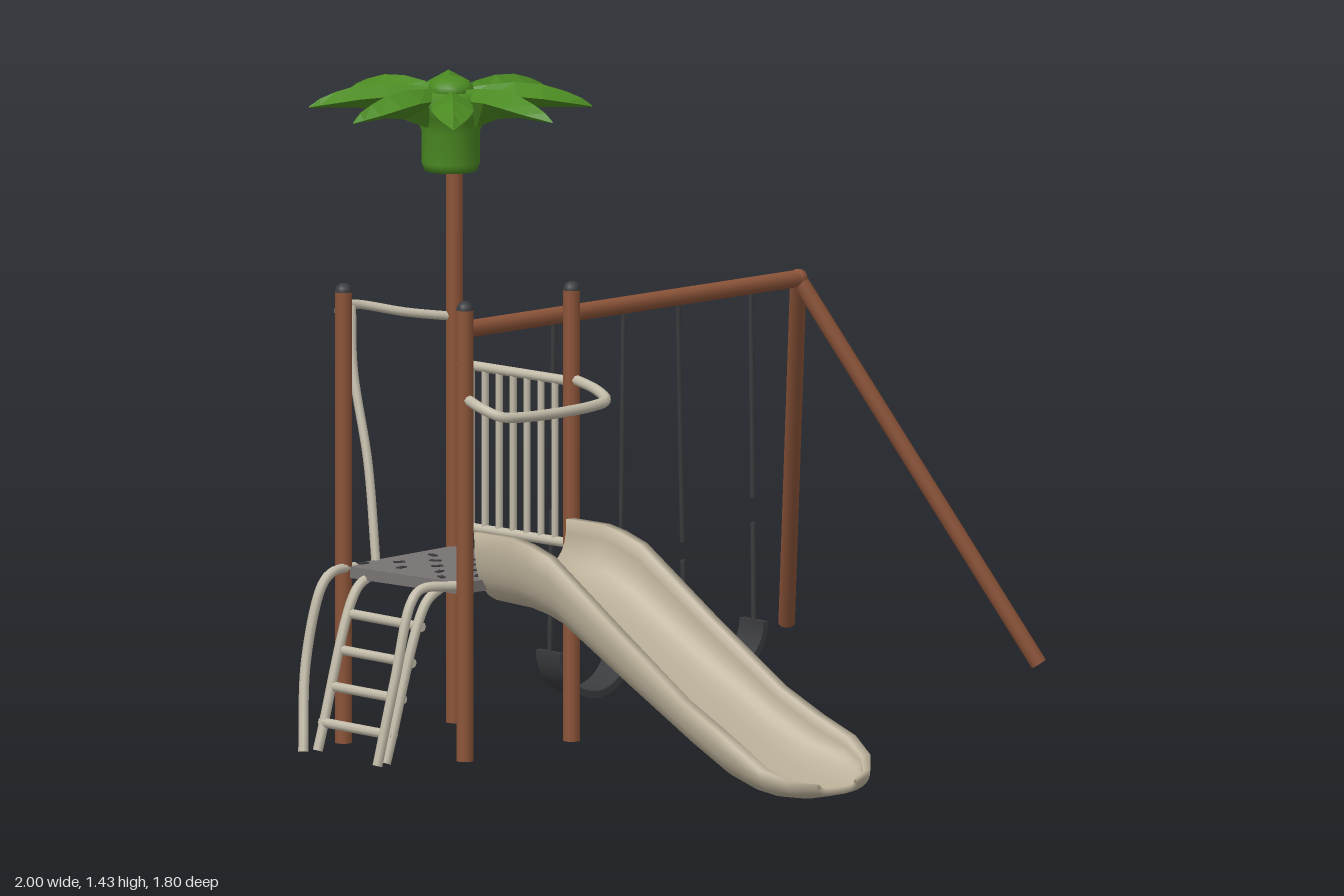
import * as THREE from 'three';

const mat = (name, color) => {
  const m = new THREE.MeshStandardMaterial({ color });
  m.name = name;
  return m;
};

export function createModel() {
  const root = new THREE.Group();
  root.name = 'playground';
  const wood = mat('brown wood', 0x8c5439);
  const plastic = mat('beige plastic', 0xbdb29b);
  const metal = mat('pale metal', 0xc2bba9);
  const rubber = mat('dark rubber', 0x3a3b3e);
  const deckGrey = mat('deck grey', 0x777372);
  const leafGreen = mat('leaf green', 0x4b8a22);

  const V = (p) => new THREE.Vector3(...p);
  const add = (name, geo, material, parent = root) => {
    const m = new THREE.Mesh(geo, material);
    m.name = name;
    parent.add(m);
    return m;
  };
  const group = (name) => {
    const g = new THREE.Group();
    g.name = name;
    root.add(g);
    return g;
  };
  // Straight round bar between two points
  const rod = (name, a, b, r, material, parent = root, sides = 12) => {
    const A = V(a), d = V(b).sub(A);
    const m = add(name, new THREE.CylinderGeometry(r, r, d.length(), sides), material, parent);
    m.position.copy(A).addScaledVector(d, 0.5);
    m.quaternion.setFromUnitVectors(new THREE.Vector3(0, 1, 0), d.normalize());
    return m;
  };
  // Bent tube through points
  const pipe = (name, pts, r, material, parent = root) => {
    const curve = new THREE.CatmullRomCurve3(pts.map(V), false, 'centripetal');
    return add(name, new THREE.TubeGeometry(curve, 40, r, 8), material, parent);
  };
  // Skin over closed rings; rings run clockwise seen from the far end
  const loft = (rings, capped) => {
    const n = rings[0].length, idx = [], half = n / 2;
    for (let i = 0; i < rings.length - 1; i++) {
      for (let j = 0; j < n; j++) {
        const k = (j + 1) % n, a = i * n, b = a + n;
        idx.push(a + j, b + j, b + k, a + j, b + k, a + k);
      }
    }
    if (capped) {
      const e = (rings.length - 1) * n;
      for (let j = 0; j < half - 1; j++) {
        const o = j, p = j + 1, q = n - 1 - j, s = n - 2 - j;
        idx.push(e + p, e + o, e + q, e + p, e + q, e + s);
        idx.push(p, q, o, p, s, q);
      }
    }
    const g = new THREE.BufferGeometry();
    g.setAttribute('position', new THREE.Float32BufferAttribute(rings.flat(2), 3));
    g.setIndex(idx);
    g.computeVertexNormals();
    return g;
  };

  // Tower posts with dark caps
  const posts = group('towerPosts');
  for (const [x, z] of [[-0.82, -0.358], [-0.78, -0.003], [-0.43, -0.05]]) {
    rod('post', [x, 0.005, z], [x, 1.0, z], 0.019, wood, posts);
    const cap = add('postCap', new THREE.SphereGeometry(0.0195, 12, 6, 0, Math.PI * 2, 0, Math.PI / 2), rubber, posts);
    cap.position.set(x, 1.0, z);
  }
  rod('palmTrunk', [-0.46, 0.005, -0.402], [-0.46, 1.26, -0.402], 0.019, wood, posts);

  // Palm crown: collar, dome and eight leaves
  const palm = group('palmCrown');
  palm.position.set(-0.46, 0, -0.415);
  const collar = [[0, 1.222], [0.058, 1.222], [0.064, 1.24], [0.064, 1.31], [0.08, 1.345], [0.1, 1.385], [0.07, 1.4]];
  add('collar', new THREE.LatheGeometry(collar.map((p) => new THREE.Vector2(...p)), 16), leafGreen, palm);
  const dome = add('dome', new THREE.SphereGeometry(0.05, 16, 10), leafGreen, palm);
  dome.scale.y = 0.6;
  dome.position.y = 1.4;
  // radius, half width, crest, edge, keel
  const leafStations = [
    [0.02, 0.02, 1.4, 1.37, 1.32], [0.08, 0.03, 1.41, 1.385, 1.325], [0.14, 0.044, 1.415, 1.39, 1.35],
    [0.2, 0.046, 1.41, 1.385, 1.36], [0.25, 0.032, 1.395, 1.375, 1.36], [0.285, 0.014, 1.38, 1.367, 1.36],
    [0.308, 0.001, 1.363, 1.361, 1.36],
  ];
  const leafGeo = loft(leafStations.map(([r, w, top, edge, low]) =>
    [[w, edge, r], [0, low, r], [-w, edge, r], [0, top, r]])).toNonIndexed();
  leafGeo.computeVertexNormals();
  for (let k = 0; k < 8; k++) {
    add('leaf', leafGeo, leafGreen, palm).rotation.y = THREE.MathUtils.degToRad(185 - 45 * k);
  }

  // Deck with dark flecks
  const corners = [[-0.82, -0.36], [-0.46, -0.4], [-0.43, -0.02], [-0.78, -0.02]];
  const deckShape = new THREE.Shape(corners.map(([x, z]) => new THREE.Vector2(x, -z)));
  const deck = add('deck', new THREE.ExtrudeGeometry(deckShape, { depth: 0.025, bevelEnabled: false }), deckGrey);
  deck.rotation.x = -Math.PI / 2;
  deck.position.y = 0.37;
  const flecks = group('deckFlecks');
  for (let k = 0; k < 16; k++) {
    const f = add('fleck', new THREE.BoxGeometry(0.025, 0.003, 0.012), rubber, flecks);
    f.position.set(-0.77 + ((k * 0.618) % 1) * 0.3, 0.396, -0.35 + k * 0.019);
    f.rotation.y = k * 1.3;
  }

  // Slide: z, centre x, half width, rim, floor, underside
  const slideStations = [
    [-0.03, -0.585, 0.145, 0.5, 0.395, 0.335], [0.08, -0.577, 0.145, 0.5, 0.39, 0.33],
    [0.13, -0.572, 0.145, 0.49, 0.375, 0.32], [0.19, -0.566, 0.145, 0.47, 0.345, 0.3],
    [0.4, -0.547, 0.147, 0.33, 0.22, 0.185], [0.6, -0.527, 0.152, 0.2, 0.11, 0.08],
    [0.7, -0.515, 0.157, 0.15, 0.06, 0.03], [0.78, -0.503, 0.168, 0.11, 0.038, 0.01],
    [0.83, -0.497, 0.16, 0.075, 0.03, 0.005], [0.87, -0.494, 0.122, 0.05, 0.025, 0.005],
    [0.897, -0.492, 0.06, 0.04, 0.028, 0.012],
  ];
  const N = 17;
  const arc = (z, cx, w, top, low) => Array.from({ length: N }, (_, j) => {
    const t = (Math.PI * j) / (N - 1), c = Math.cos(t);
    return [cx + w * Math.sign(c) * Math.abs(c) ** 0.6, top - (top - low) * Math.max(0, Math.sin(t)) ** 0.75, z];
  });
  add('slide', loft(slideStations.map(([z, cx, w, rim, floor, low]) =>
    [...arc(z, cx, w, rim, low), ...arc(z, cx, w * 0.84, rim, floor).reverse()]), true), plastic);

  // Side railing with balusters
  const railing = group('sideRailing');
  const railX = (z) => -0.43 + 0.03 * (z + 0.05) / 0.35;
  const along = (z, y) => [railX(z), y, z];
  for (const y of [0.798, 0.44, 0.383]) rod('rail', along(-0.05, y), along(-0.4, y), 0.011, metal, railing);
  for (let k = 0; k < 7; k++) {
    const z = -0.1 - k * 0.042;
    rod('baluster', along(z, 0.44), along(z, 0.8), 0.008, metal, railing, 8);
  }

  // Front guard loop, back hoop and climbing pole
  pipe('frontGuard', [[-0.78, 0.805, 0], [-0.785, 0.79, 0.06], [-0.765, 0.775, 0.1], [-0.7, 0.77, 0.113],
    [-0.5, 0.77, 0.1], [-0.445, 0.775, 0.08], [-0.43, 0.79, 0.03], [-0.43, 0.805, -0.05]], 0.012, metal);
  pipe('backHoop', [[-0.82, 0.93, -0.358], [-0.76, 0.933, -0.44], [-0.7, 0.938, -0.5], [-0.65, 0.935, -0.505],
    [-0.56, 0.915, -0.45], [-0.46, 0.9, -0.402]], 0.01, metal);
  pipe('climbingPole', [[-0.67, 0.935, -0.503], [-0.685, 0.8, -0.48], [-0.695, 0.6, -0.42], [-0.715, 0.38, -0.37]], 0.01, metal);

  // Ladder: stringers, handrails and rungs
  const ladder = group('ladder');
  for (const [zTop, zLow] of [[-0.07, -0.065], [-0.3, -0.29]]) {
    pipe('stringer', [[-0.79, 0.38, zTop], [-0.835, 0.35, zTop], [-0.955, 0.01, zLow]], 0.011, metal, ladder);
  }
  for (const [zTop, zMid, zLow] of [[-0.02, -0.045, -0.055], [-0.355, -0.34, -0.3]]) {
    pipe('handrail', [[-0.79, 0.39, zTop], [-0.87, 0.388, zMid], [-0.9, 0.36, zMid], [-0.945, 0.2, zMid], [-0.988, 0.01, zLow]],
      0.011, metal, ladder);
  }
  for (let k = 0; k < 4; k++) {
    const y = 0.07 + k * 0.077, x = -0.935 + k * 0.027;
    rod('rung', [x, y, -0.06], [x, y, -0.3], 0.011, metal, ladder, 8);
  }

  // Swing beam and splayed legs
  const frame = group('swingFrame');
  const apex = [0.63, 0.85, -0.51];
  rod('beam', [-0.46, 0.867, -0.405], apex, 0.019, wood, frame);
  add('joint', new THREE.SphereGeometry(0.021, 12, 8), wood, frame).position.set(...apex);
  rod('frontLeg', apex, [0.98, 0.01, -0.115], 0.018, wood, frame);
  rod('backLeg', apex, [0.925, 0.01, -0.885], 0.018, wood, frame);

  // Swings: U-shaped seats on chains, each chain made of spans [yTop, yLow]
  const seatShape = new THREE.Shape();
  seatShape.absellipse(0, 0, 0.107, 0.11, Math.PI, Math.PI * 2, false);
  seatShape.absellipse(0, 0, 0.094, 0.094, Math.PI * 2, Math.PI, true);
  const seatGeo = new THREE.ExtrudeGeometry(seatShape, { depth: 0.08, bevelEnabled: false, curveSegments: 20 });
  const swings = [
    { x: -0.025, z: -0.468, chains: [[-0.143, -0.126, [[0.86, 0.61], [0.43, 0.1]]], [0.078, 0.076, [[0.86, 0.1]]]] },
    { x: 0.385, z: -0.492, chains: [[0.25, 0.284, [[0.86, 0.31], [0.27, 0.1]]], [0.48, 0.486, [[0.86, 0.385], [0.33, 0.1]]]] },
  ];
  for (const { x, z, chains } of swings) {
    const swing = group('swing');
    add('seat', seatGeo, rubber, swing).position.set(x, 0.116, z - 0.04);
    for (const [xTop, xLow, spans] of chains) {
      const zTop = -0.405 - 0.105 * (xTop + 0.46) / 1.09;
      const at = (y) => {
        const t = (0.86 - y) / 0.76;
        return [xTop + (xLow - xTop) * t, y, zTop + (z - zTop) * t];
      };
      for (const [hi, lo] of spans) rod('chain', at(hi), at(lo), 0.006, rubber, swing, 6);
    }
  }
  return root;
}
